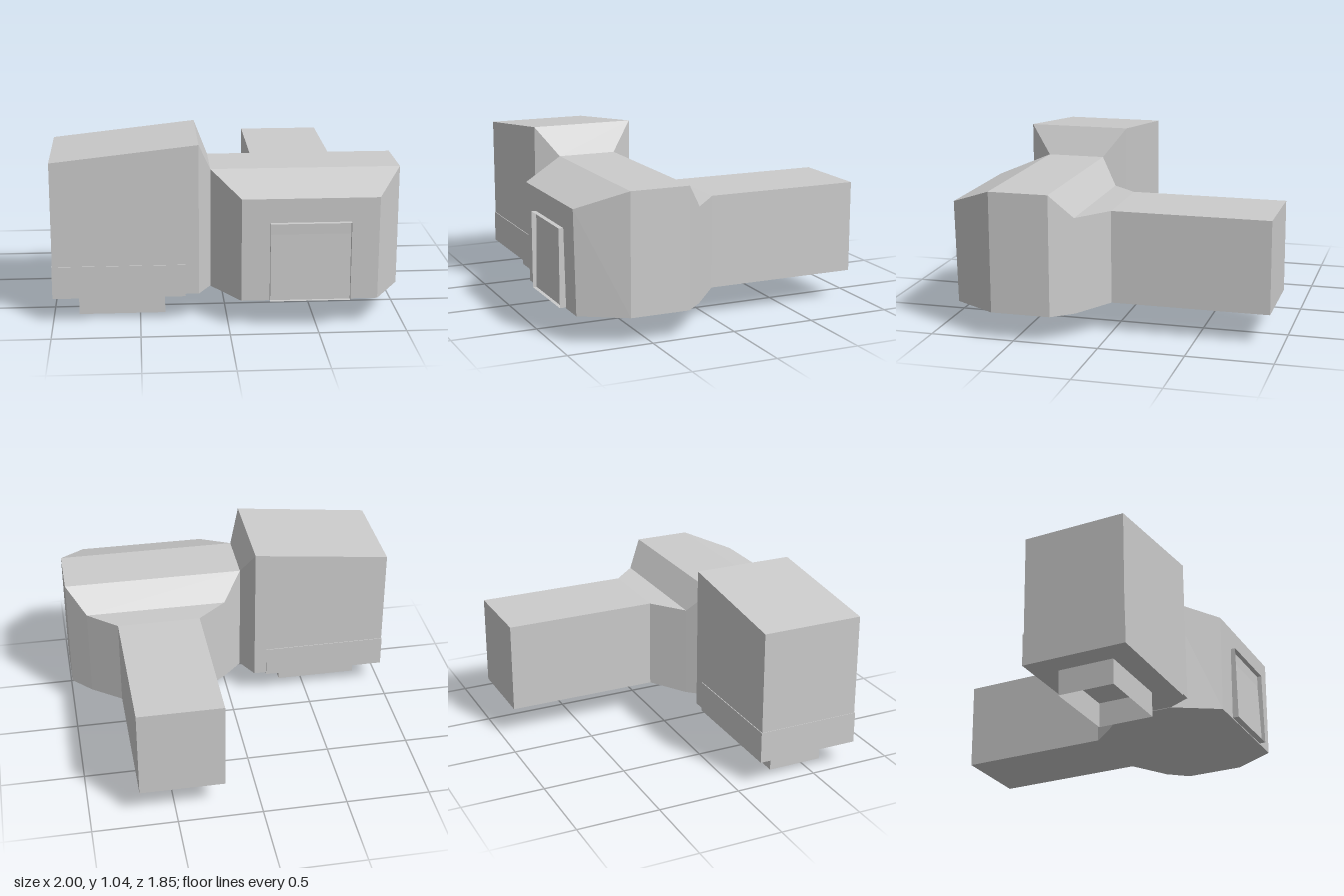
import * as THREE from 'three';

const material = new THREE.MeshStandardMaterial({ color: 0xcccccc, flatShading: true, side: THREE.DoubleSide });

// Skin a row of four-cornered rings, each wound anticlockwise seen from the far end.
function loft(rings) {
  const points = [];
  const quad = (a, b, c, d) => [a, b, c, a, c, d].forEach((p) => points.push(...p));
  for (let i = 0; i < rings.length - 1; i++) {
    for (let j = 0; j < 4; j++) {
      const k = (j + 1) % 4;
      quad(rings[i][j], rings[i][k], rings[i + 1][k], rings[i + 1][j]);
    }
  }
  quad(...[...rings[0]].reverse());
  quad(...rings[rings.length - 1]);
  const geometry = new THREE.BufferGeometry();
  geometry.setAttribute('position', new THREE.Float32BufferAttribute(points, 3));
  geometry.computeVertexNormals();
  return geometry;
}

const ringAlongZ = ([z, x0, x1, y0, y1, zLow = z]) =>
  [[x0, y0, zLow], [x1, y0, zLow], [x1, y1, z], [x0, y1, z]];
const ringAlongX = ([x, z0, z1, y0, y1]) =>
  [[x, y0, z1], [x, y0, z0], [x, y1, z0], [x, y1, z1]];

// Rectangular walls without end caps: four planes around the z axis.
function openWalls(width, height, depth) {
  const half = [[-1, -1], [1, -1], [1, 1], [-1, 1]].map(([a, b]) => [a * width / 2, b * height / 2]);
  const points = [];
  half.forEach(([x, y], i) => {
    const [u, v] = half[(i + 1) % 4];
    const d = depth / 2;
    const a = [x, y, -d], b = [u, v, -d], c = [u, v, d], e = [x, y, d];
    [a, b, c, a, c, e].forEach((p) => points.push(...p));
  });
  const geometry = new THREE.BufferGeometry();
  geometry.setAttribute('position', new THREE.Float32BufferAttribute(points, 3));
  geometry.computeVertexNormals();
  return geometry;
}

export function createModel() {
  const model = new THREE.Group();
  const add = (name, geometry, x = 0, y = 0, z = 0) => {
    const mesh = new THREE.Mesh(geometry, material);
    mesh.name = name;
    mesh.position.set(x, y, z);
    model.add(mesh);
    return mesh;
  };

  // Rear arm flaring into the faceted main housing: z, x0, x1, y0, y1, (z at bottom)
  add('mainHousingAndArm', loft([
    [-0.925, 0.21, 0.71, 0.18, 0.725],
    [0, 0.21, 0.71, 0.18, 0.725],
    [0.165, 0.03, 0.885, 0.155, 0.715],
    [0.28, -0.09, 1, 0.16, 0.865],
    [0.63, -0.09, 1, 0.16, 0.865],
    [0.9, 0.07, 0.845, 0.16, 0.76, 0.888],
  ].map(ringAlongZ)));

  // Tall side block with a sloping roof and a tapered joint: x, z0, z1, y0, y1
  add('sideBlock', loft([
    [-0.997, 0.147, 0.763, 0.163, 0.948],
    [-0.163, 0.147, 0.763, 0.163, 1.04],
    [-0.09, 0.28, 0.63, 0.163, 0.865],
  ].map(ringAlongX)));

  // Slightly raised band around the foot of the side block
  add('baseBand', new THREE.BoxGeometry(0.76, 0.19, 0.625), -0.62, 0.245, 0.455);

  // Bottomless collar underneath
  const collar = add('lowerCollar', openWalls(0.5, 0.335, 0.15), -0.605, 0.075, 0.4575);
  collar.rotation.x = Math.PI / 2;

  // Open frame on the front face with a panel set inside it
  add('frontFrame', openWalls(0.455, 0.455, 0.05), 0.4575, 0.393, 0.9);
  const panel = add('frontPanel', new THREE.PlaneGeometry(0.455, 0.455), 0.4575, 0.393, 0.899);
  panel.rotation.x = -0.02;

  return model;
}
